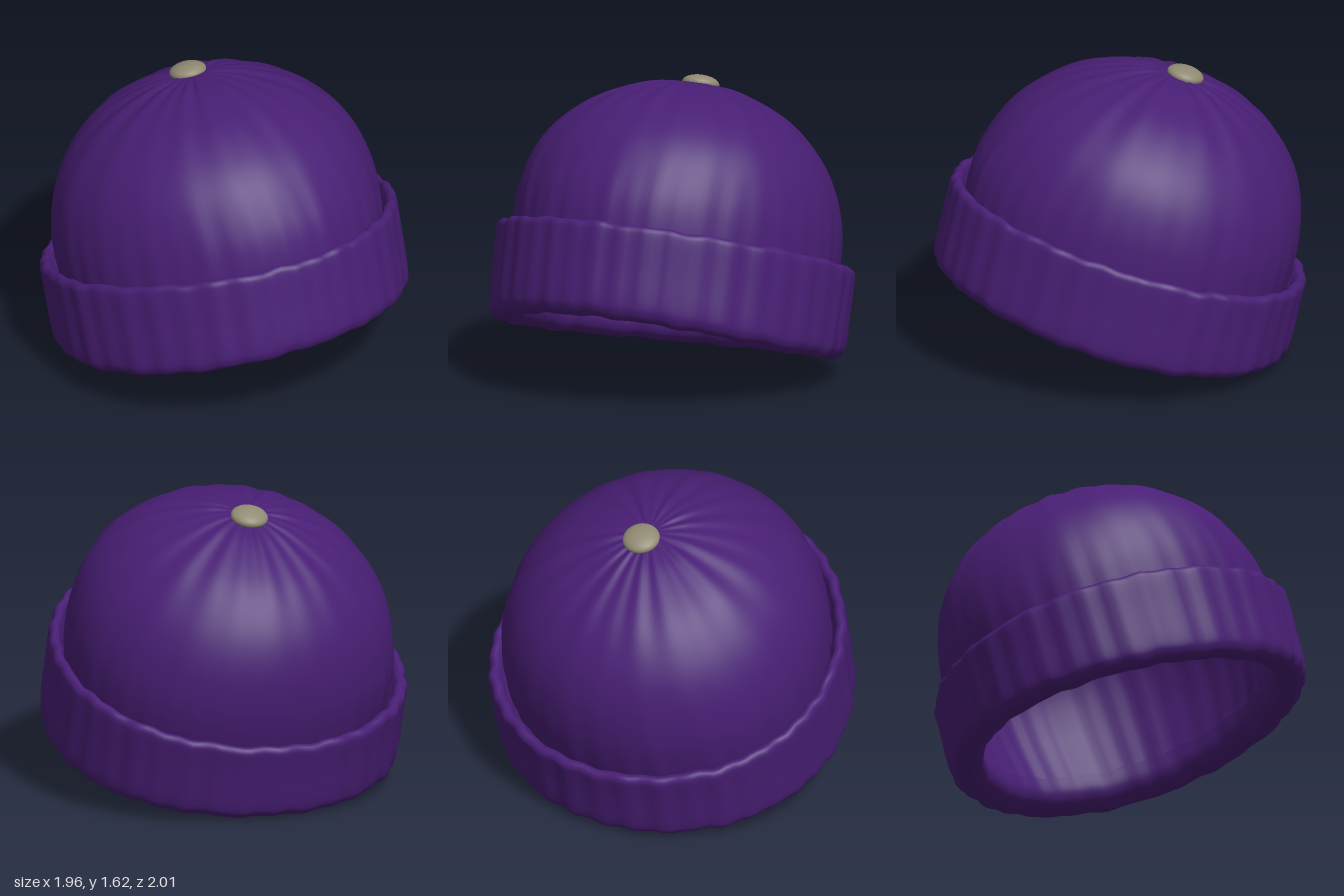
import * as THREE from 'three';
import { mergeVertices } from 'three/addons/utils/BufferGeometryUtils.js';

const SEGMENTS = 160;
const smooth = (a, b, x) => THREE.MathUtils.smoothstep(x, a, b);

// Irregular knitted ribs around the hat, about -1..1
function ribs(a) {
  return 0.6 * Math.sin(38 * a + 0.8 * Math.sin(3 * a)) + 0.25 * Math.sin(23 * a + 1) + 0.15 * Math.sin(11 * a + 2);
}

// Gathered pleats that run towards the button, about -1..1
function pleats(a) {
  return 0.6 * Math.sin(20 * a + 1.2 * Math.sin(2 * a)) + 0.4 * Math.sin(13 * a + 0.7);
}

// Spins a smooth profile, then moves its points by a rule into a soft, egg-shaped knit
function knit(profile, steps, relief) {
  const curve = new THREE.SplineCurve(profile.map(([r, y]) => new THREE.Vector2(r, y)));
  const points = curve.getPoints(steps);
  points.forEach((p) => { p.x = Math.max(p.x, 0); });
  const geo = new THREE.LatheGeometry(points, SEGMENTS);
  const pos = geo.attributes.position;
  for (let i = 0; i < pos.count; i++) {
    const x = pos.getX(i), y = pos.getY(i), z = pos.getZ(i);
    const r = Math.hypot(x, z), a = Math.atan2(x, z);
    const [dr, dy] = relief(a, r, y);
    const k = r > 1e-4 ? (r + dr) / r : 1;
    const low = 1 - smooth(0.5, 1.2, y);
    const band = 1 - smooth(0.45, 0.85, y);
    const edge = 1 - smooth(0, 0.4, y);
    // narrower front, longer back, sides of the lower edge sagging
    const stretch = z > 0 ? 1 + 0.045 * y * band : 1.02 + 0.025 * edge;
    pos.setXYZ(
      i,
      x * k * 0.968 * (1 - 0.08 * z * low),
      y + dy + 0.06 * z * y * low - (0.05 * x * x + 0.01 * (1 + z)) * edge,
      z * k * 0.985 * stretch + 0.015 * low
    );
  }
  geo.deleteAttribute('uv');
  geo.deleteAttribute('normal');
  const merged = mergeVertices(geo, 1e-5);
  merged.computeVertexNormals();
  return merged;
}

export function createModel() {
  const wool = new THREE.MeshStandardMaterial({ color: 0x481e74 });
  wool.name = 'purple wool';
  const buttonMat = new THREE.MeshStandardMaterial({ color: 0x918b74 });
  buttonMat.name = 'grey beige button';

  const model = new THREE.Group();
  model.name = 'knittedHat';

  // The whole hat leans back
  const hat = new THREE.Group();
  hat.name = 'tiltedHat';
  hat.position.set(0, 0.28, 0.065);
  hat.rotation.x = -0.288;
  model.add(hat);

  const add = (name, geo, mat) => {
    const mesh = new THREE.Mesh(geo, mat);
    mesh.name = name;
    hat.add(mesh);
    return mesh;
  };

  // Crown: dome with pleats deepening towards the top
  const crownRelief = (a, r, y) => {
    const gather = smooth(1.0, 1.3, y) * smooth(0.04, 0.2, r);
    return [
      0.006 * ribs(a) * (1 - smooth(0.4, 1.0, y)) + 0.003 * pleats(a) * smooth(0.3, 0.6, r),
      0.007 * pleats(a) * gather,
    ];
  };
  add('crown', knit([
    [0.9, 0.28], [0.915, 0.45], [0.906, 0.65], [0.85, 0.855], [0.735, 1.035],
    [0.545, 1.195], [0.29, 1.303], [0.1, 1.336], [0, 1.338],
  ], 48, crownRelief), wool);

  // Lining: inner dome, facing inwards
  add('lining', knit([
    [0, 1.308], [0.28, 1.273], [0.525, 1.168], [0.705, 1.015], [0.817, 0.84],
    [0.87, 0.63], [0.868, 0.4], [0.83, 0.2], [0.812, 0.13],
  ], 40, (a, r, y) => [0.006 * ribs(a) * (1 - smooth(0.6, 1.1, y)), 0]), wool);

  // Folded cuff: rolled lower edge, ribbed outside and rounded upper lip
  add('cuff', knit([
    [0.812, 0.14], [0.81, 0.065], [0.838, 0.012], [0.89, -0.01], [0.945, -0.006],
    [0.98, 0.025], [0.996, 0.08], [1.0, 0.25], [1.003, 0.395], [0.996, 0.438],
    [0.972, 0.455], [0.944, 0.438], [0.922, 0.38], [0.87, 0.28],
  ], 64, (a, r) => [
    0.01 * ribs(a) * (0.4 + 0.6 * smooth(0.9, 0.99, r)),
    0.004 * Math.sin(17 * a + 1) + 0.003 * Math.sin(29 * a),
  ]), wool);

  // Button: flattened ball on the gathered top
  const button = add('button', new THREE.SphereGeometry(0.102, 32, 16), buttonMat);
  button.scale.y = 0.46;
  button.position.set(0.013, 1.344, -0.052);

  return model;
}
